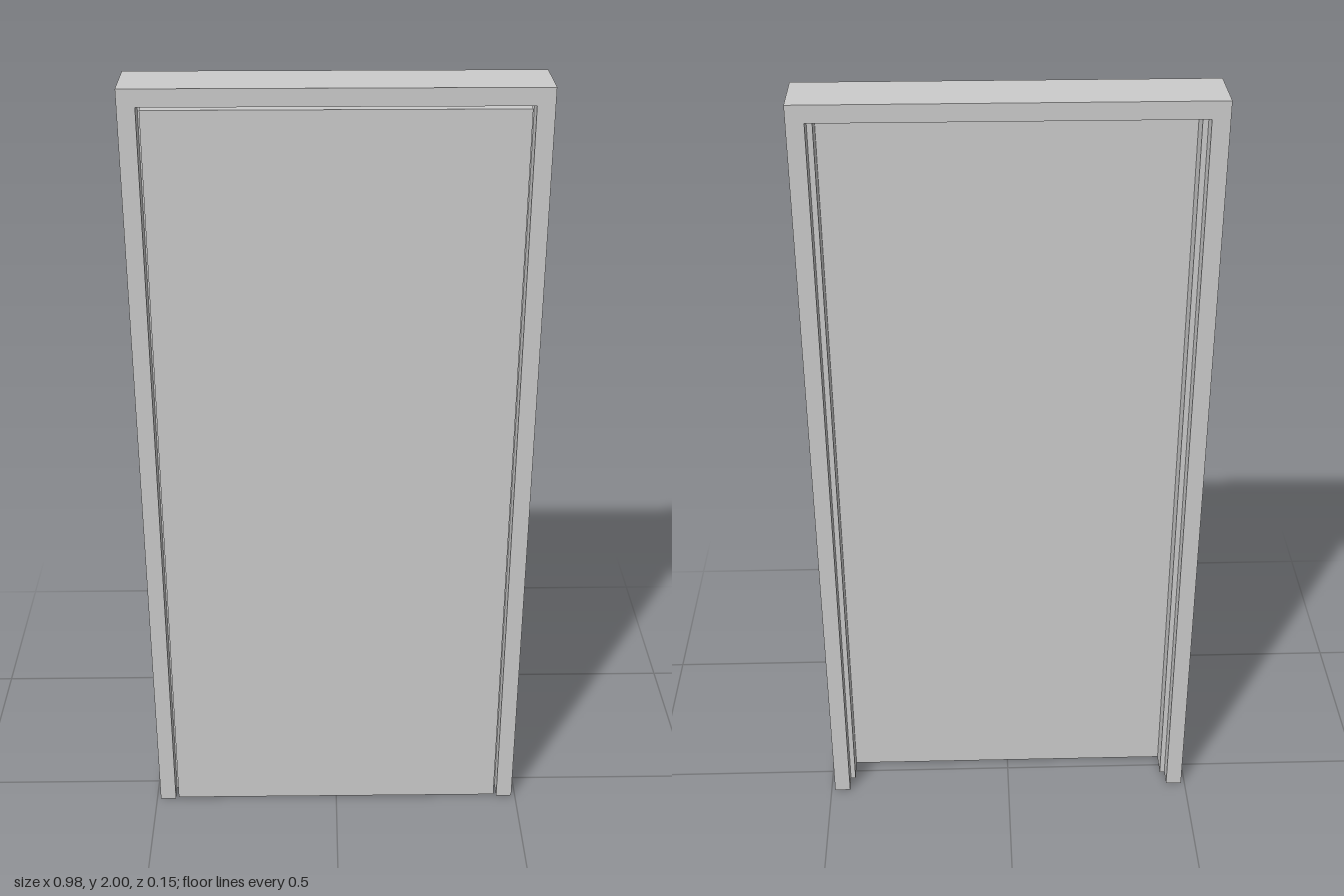
import * as THREE from 'three';

const W = 0.49, H = 2, Z = 0.077;   // outer half width, height, half depth
const FACE = 0.042, STOP = 0.055;   // inset of the rebates and of the stop

const material = () => new THREE.MeshStandardMaterial({ color: 0xcccccc, flatShading: true });

// Sweep a closed [inset, z] profile up one jamb, across the head and down the other,
// with mitred corners; the feet stay open like folded sheet metal.
function sweepFrame(profile) {
  const stations = [
    (d) => [W - d, 0], (d) => [W - d, H - d],
    (d) => [-W + d, H - d], (d) => [-W + d, 0],
  ];
  const pos = [];
  const n = profile.length;
  for (let s = 0; s < stations.length - 1; s++) {
    for (let i = 0; i < n; i++) {
      const [d0, z0] = profile[i], [d1, z1] = profile[(i + 1) % n];
      const a = [...stations[s](d0), z0], b = [...stations[s](d1), z1];
      const c = [...stations[s + 1](d1), z1], e = [...stations[s + 1](d0), z0];
      pos.push(...a, ...b, ...c, ...a, ...c, ...e);
    }
  }
  const geometry = new THREE.BufferGeometry();
  geometry.setAttribute('position', new THREE.Float32BufferAttribute(pos, 3));
  geometry.computeVertexNormals();
  return geometry;
}

export function createModel() {
  const group = new THREE.Group();
  group.name = 'door';

  // Double-rebated frame: back face, back rebate, central stop, front rebate, front face
  const profile = [
    [0, -Z], [FACE, -Z], [FACE, -0.03], [STOP, -0.03],
    [STOP, 0.03], [FACE, 0.03], [FACE, Z], [0, Z],
  ];
  const frame = new THREE.Mesh(sweepFrame(profile), material());
  frame.name = 'frame';
  group.add(frame);

  // Flush leaf resting against the stop, with a narrow gap all round
  const bottom = 0.003, top = 1.951, thick = 0.044;
  const leaf = new THREE.Mesh(new THREE.BoxGeometry(0.88, top - bottom, thick), material());
  leaf.name = 'doorLeaf';
  leaf.position.set(0, (top + bottom) / 2, 0.031 + thick / 2);
  group.add(leaf);

  return group;
}
